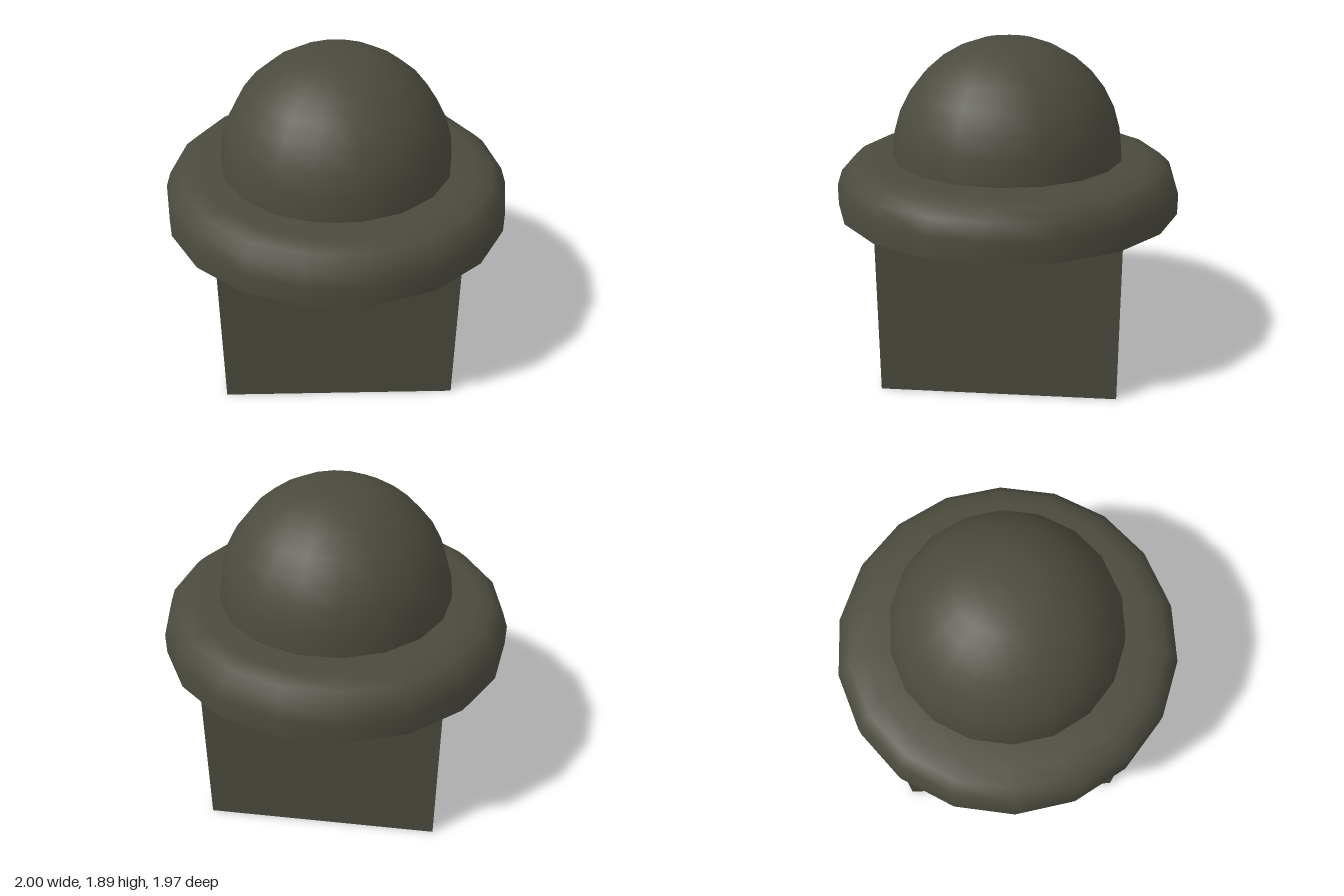
import * as THREE from 'three';

const SIDES = 18;

export function createModel() {
  const group = new THREE.Group();
  const darkOlive = new THREE.MeshStandardMaterial({ color: 0x4b4a3e, side: THREE.DoubleSide });
  darkOlive.name = 'darkOlive';

  const add = (name, geometry, parent = group) => {
    const mesh = new THREE.Mesh(geometry, darkOlive);
    mesh.name = name;
    parent.add(mesh);
    return mesh;
  };
  // Turned part with a corner on the x axis
  const turned = (points) => new THREE.LatheGeometry(
    points.map(([r, y]) => new THREE.Vector2(r, y)), SIDES, Math.PI / 2);

  // Hollow square base, open at the bottom
  const base = new THREE.Group();
  base.name = 'squareBase';
  group.add(base);
  const half = 0.663, height = 0.93;
  for (let i = 0; i < 4; i++) {
    const wall = new THREE.PlaneGeometry(half * 2, height);
    wall.translate(0, height / 2, half);
    wall.rotateY(i * Math.PI / 2);
    add('baseWall', wall, base);
  }

  // Rounded flange and its flat underside
  add('flange', turned([
    [1, 0.93], [1, 1.05], [0.97, 1.14], [0.91, 1.195], [0.82, 1.222], [0.64, 1.224],
  ]));
  const underside = new THREE.CircleGeometry(1, SIDES);
  underside.rotateX(Math.PI / 2);
  underside.translate(0, height, 0);
  add('flangeUnderside', underside);

  // Dome with a small flattened crown
  const radius = 0.67, centreY = 1.235;
  const profile = [[radius, 1.22]];
  for (let i = 0; i <= 7; i++) {
    const a = THREE.MathUtils.degToRad(11 * i);
    profile.push([radius * Math.cos(a), centreY + radius * Math.sin(a)]);
  }
  profile.push([0, 1.888]);
  add('dome', turned(profile));

  return group;
}
